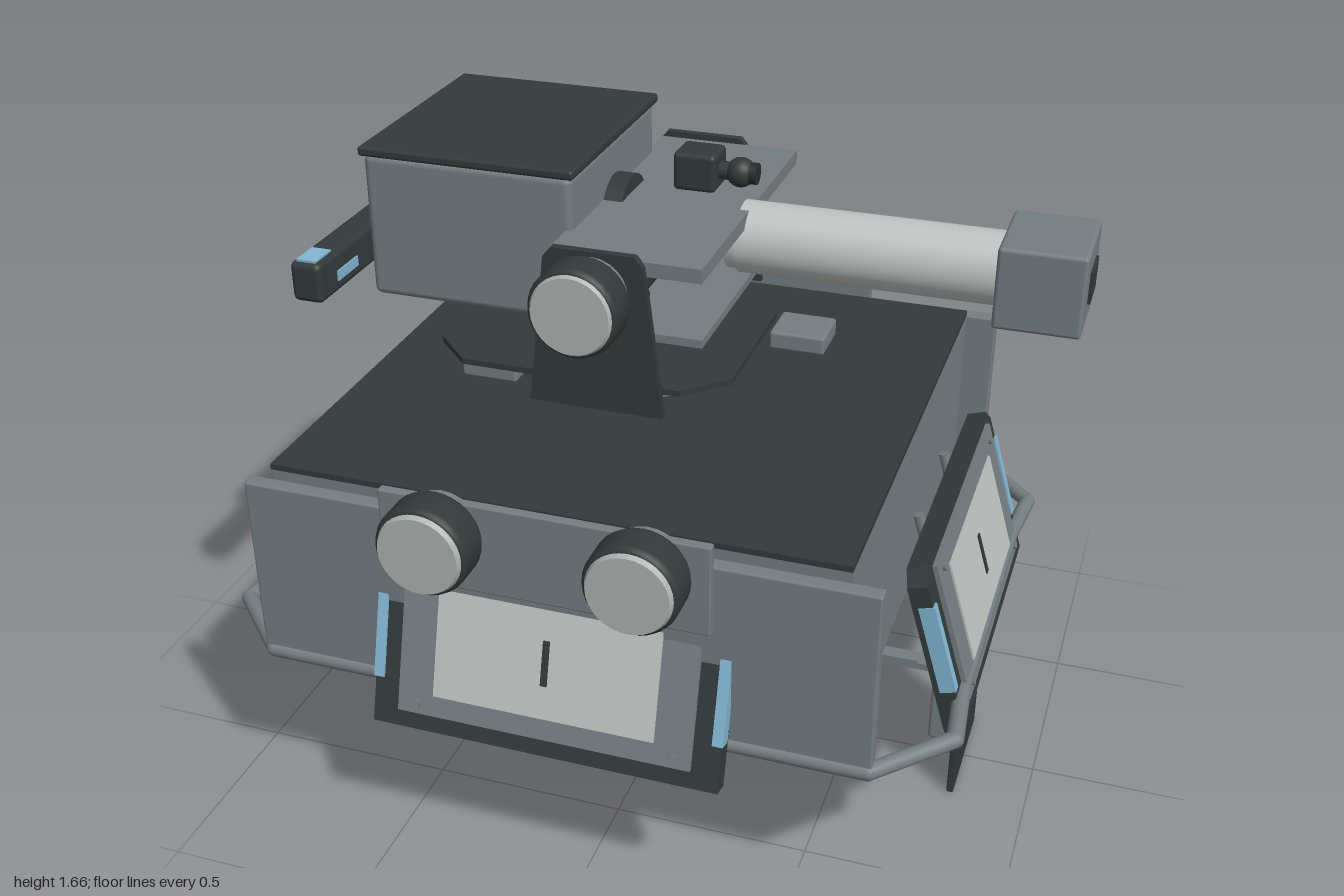
import * as THREE from 'three';
import { RoundedBoxGeometry } from 'three/addons/geometries/RoundedBoxGeometry.js';

const material = (name, color, side = THREE.FrontSide) => {
  const m = new THREE.MeshStandardMaterial({ color, side });
  m.name = name;
  return m;
};

export function createModel() {
  const grey = material('panel grey', 0x757d81);
  const dark = material('charcoal', 0x323a39);
  const pale = material('pale metal', 0xbdc3c1);
  const lensGrey = material('lens grey', 0xadb4b2);
  const blue = material('light blue', 0x82b6d2);
  const black = material('underside black', 0x262d2e);
  const root = new THREE.Group();
  const CX = -0.065;
  const UP = new THREE.Vector3(0, 1, 0);

  const add = (parent, name, geo, mat, x = 0, y = 0, z = 0) => {
    const m = new THREE.Mesh(geo, mat);
    m.name = name;
    m.position.set(x, y, z);
    parent.add(m);
    return m;
  };
  // Box given by its limits on each axis
  const block = (parent, name, mat, x0, x1, y0, y1, z0, z1, r = 0) => {
    const s = [x1 - x0, y1 - y0, z1 - z0];
    const geo = r ? new RoundedBoxGeometry(...s, 2, r) : new THREE.BoxGeometry(...s);
    return add(parent, name, geo, mat, (x0 + x1) / 2, (y0 + y1) / 2, (z0 + z1) / 2);
  };
  // Round bar between two points
  const bar = (parent, name, mat, a, b, r, sides = 14) => {
    const p = new THREE.Vector3(...a), d = new THREE.Vector3(...b).sub(p);
    const m = add(parent, name, new THREE.CylinderGeometry(r, r, d.length(), sides), mat);
    m.position.copy(p).addScaledVector(d, 0.5);
    m.quaternion.setFromUnitVectors(UP, d.normalize());
    return m;
  };
  // Rounded dark barrel pointing along local +y, with a collar and a lens
  const sensor = (parent, name, pos, dir, r, len, lensOut = 0.012) => {
    const g = new THREE.Group();
    g.name = name;
    const c = len * 0.16;
    const profile = [[0, 0], [r - c, 0], [r - c * 0.3, c * 0.3], [r, c], [r, len - c],
      [r - c * 0.3, len - c * 0.3], [r - c, len], [0, len]];
    add(g, 'sensorBarrel', new THREE.LatheGeometry(profile.map(p => new THREE.Vector2(...p)), 32), dark);
    add(g, 'sensorLens', new THREE.CylinderGeometry(r * 0.85, r * 0.9, lensOut, 32), lensGrey, 0, len + lensOut / 2);
    add(g, 'sensorCollar', new THREE.CylinderGeometry(r * 0.8, r * 0.8, 0.035, 24), grey, 0, -0.015);
    g.position.set(...pos);
    g.quaternion.setFromUnitVectors(UP, new THREE.Vector3(...dir));
    parent.add(g);
  };

  // Hull
  block(root, 'hull', grey, -0.79, 0.62, 0.48, 0.98, -0.68, 0.68);
  block(root, 'topPlate', dark, -0.79, 0.62, 0.98, 0.995, -0.685, 0.685);
  block(root, 'deckBlock', grey, 0.16, 0.31, 0.995, 1.045, -0.42, -0.28, 0.008);
  block(root, 'deckBlock', grey, -0.55, -0.4, 0.995, 1.04, -0.12, 0.12, 0.008);
  const ring = [[-0.81, 0.735], [0.69, 0.735], [0.855, 0.56], [0.835, 0.35], [0.835, -0.35], [0.855, -0.56],
    [0.69, -0.735], [-0.81, -0.735], [-0.985, -0.56], [-0.965, -0.35], [-0.965, 0.35], [-0.985, 0.56]];
  const floor = new THREE.Shape(ring.map(p => new THREE.Vector2(...p)));
  add(root, 'floorPlate', new THREE.ShapeGeometry(floor).rotateX(Math.PI / 2), black, 0, 0.475, 0);
  block(root, 'floorHatch', black, CX - 0.09, CX + 0.09, 0.467, 0.474, -0.09, 0.09);

  // Bumper rail around the floor edge
  ring.forEach(([x, z], i) => {
    const [x2, z2] = ring[(i + 1) % ring.length];
    bar(root, 'bumperRail', grey, [x, 0.492, z], [x2, 0.492, z2], 0.021);
    add(root, 'railJoint', new THREE.SphereGeometry(0.021, 12, 8), grey, x, 0.492, z);
  });

  // Front and back armour, sensor panels and paired sensors
  for (const s of [1, -1]) {
    const slab = (name, x0, x1, y0, y1, zc, t, r) =>
      block(root, name, grey, x0, x1, y0, y1, s * zc - t / 2, s * zc + t / 2, r);
    slab('armourPanel', -0.83, 0.7, 0.49, 0.97, 0.725, 0.04, 0.006);
    slab('sensorPanel', -0.46, 0.33, 0.81, 1.04, 0.767, 0.025, 0.005);
    for (const x of [-0.31, 0.18]) sensor(root, 'hullSensor', [x, 0.96, s * 0.785], [0, 0, s], 0.113, 0.1);
  }

  // Tilted display unit with a mount and brackets below
  const W = 0.432, H = 0.22, cut = 0.035;
  const frameShape = new THREE.Shape([[-W, -H], [W, -H], [W, H - cut], [W - cut, H], [cut - W, H], [-W, H - cut]]
    .map(p => new THREE.Vector2(...p)));
  const frameGeo = new THREE.ExtrudeGeometry(frameShape, { depth: 0.05, bevelEnabled: false }).translate(0, 0, -0.05);
  const display = (angle, out) => {
    const side = new THREE.Group();
    side.name = 'displaySide';
    side.position.x = CX;
    side.rotation.y = angle;
    const g = new THREE.Group();
    g.name = 'display';
    g.position.set(0, 0.63, out);
    g.rotation.x = -0.29;
    add(g, 'displayFrame', frameGeo, dark);
    block(g, 'displayPanel', grey, -0.365, 0.365, -0.175, 0.2, 0, 0.012);
    block(g, 'displayScreen', pale, -0.275, 0.275, -0.122, 0.15, 0.012, 0.017);
    block(g, 'displayMark', dark, -0.008, 0.008, -0.04, 0.07, 0.017, 0.021);
    for (const s of [-1, 1]) {
      block(g, 'displayLight', blue, s * 0.422 - 0.013, s * 0.422 + 0.013, -0.105, 0.13, -0.035, 0.005);
      for (const y of [-0.15, 0.175])
        add(g, 'screw', new THREE.CylinderGeometry(0.012, 0.012, 0.008, 12).rotateX(Math.PI / 2), grey, s * 0.32, y, 0.016);
      // Mount struts and lower brackets
      bar(side, 'mountStrut', grey, [s * 0.16, 0.83, out - 0.13], [s * 0.16, 0.47, out - 0.03], 0.014, 8);
      const x = s * 0.157;
      block(side, 'bracketArm', grey, x - 0.02, x + 0.02, 0.385, 0.41, out - 0.23, out + 0.01);
      block(side, 'bracketPost', grey, x - 0.017, x + 0.017, 0.41, 0.475, out - 0.23, out - 0.195);
      block(side, 'bracketFoot', grey, x - 0.05, x + 0.05, 0.41, 0.425, out - 0.1, out - 0.07);
      bar(side, 'bracketLever', dark, [x, 0.47, out - 0.23], [x, 0.435, out - 0.315], 0.01, 8);
    }
    side.add(g);
    root.add(side);
  };
  display(0, 0.77);
  display(Math.PI, 0.77);
  display(Math.PI / 2, 0.862);
  display(-Math.PI / 2, 0.862);

  // Hanging flap on the left side
  block(root, 'flapBracket', grey, 0.73, 0.79, 0.14, 0.47, -0.13, 0.13, 0.008);
  block(root, 'flap', dark, 0.796, 0.814, 0, 0.33, -0.163, 0.163, 0.004);

  // Turntable
  sensor(root, 'turntable', [CX, 1.005, 0], [0, 1, 0], 0.108, 0.105);
  const P = [[-0.56, -0.2], [-0.46, -0.3], [0.1, -0.3], [0.2, -0.2], [0.2, 0.2], [0.1, 0.3], [-0.46, 0.3], [-0.56, 0.2]];
  const plate = new THREE.Shape(P.map(p => new THREE.Vector2(...p)));
  add(root, 'turretPlate', new THREE.ExtrudeGeometry(plate, { depth: 0.015, bevelEnabled: false }).rotateX(Math.PI / 2),
    dark, 0, 1.143, 0);
  const swivel = [[0, 0], [0.055, 0], [0.073, 0.02], [0.073, 0.075], [0.055, 0.095], [0, 0.095]];
  add(root, 'swivel', new THREE.LatheGeometry(swivel.map(p => new THREE.Vector2(...p)), 28), pale, CX, 1.145, 0);
  bar(root, 'swivelPin', dark, [CX, 1.23, 0], [CX, 1.32, 0], 0.014);

  // Yoke with side sensor and pivot knob
  const yoke = new THREE.Shape([[-0.165, 1.13], [0.165, 1.13], [0.12, 1.5], [0.1, 1.525], [-0.1, 1.525], [-0.12, 1.5]]
    .map(p => new THREE.Vector2(...p)));
  const yokeGeo = new THREE.ExtrudeGeometry(yoke, { depth: 0.02, bevelEnabled: false });
  for (const z of [0.402, -0.422]) add(root, 'yokePlate', yokeGeo, dark, CX, 0, z);
  sensor(root, 'yokeSensor', [CX, 1.43, 0.46], [0, 0, 1], 0.108, 0.1, 0.008);
  sensor(root, 'yokeKnob', [CX, 1.43, -0.42], [0, 0, -1], 0.058, 0.025, 0.018);
  block(root, 'upperCradle', grey, -0.18, 0.187, 1.475, 1.51, -0.405, 0.405);
  block(root, 'lowerCradle', grey, -0.18, 0.187, 1.315, 1.335, -0.4, 0.4);
  block(root, 'cradleAxle', dark, CX - 0.1, CX + 0.1, 1.39, 1.465, -0.355, 0.355, 0.03);
  for (const z of [-0.22, 0.22]) {
    sensor(root, 'hangingSensor', [CX, 1.36, z], [0, -1, 0], 0.062, 0.135, 0.01);
    add(root, 'hangingLens', new THREE.SphereGeometry(0.048, 20, 12).scale(1, 0.55, 1), pale, CX, 1.195, z);
  }

  // Barrel tube with square head
  bar(root, 'barrelJoint', dark, [-0.05, 1.425, 0], [0.16, 1.425, 0], 0.04, 24);
  bar(root, 'barrelCollar', pale, [0.137, 1.43, 0], [0.165, 1.43, 0], 0.08, 32);
  bar(root, 'barrelTube', pale, [0.165, 1.43, 0], [0.8, 1.43, 0], 0.088, 40);
  block(root, 'barrelHead', grey, 0.79, 0.993, 1.33, 1.53, -0.125, 0.125, 0.01);
  block(root, 'headWindow', dark, 0.992, 1.0, 1.39, 1.468, -0.053, 0.053);

  // Equipment box with lid and round port
  block(root, 'equipmentBox', grey, -0.69, -0.165, 1.28, 1.638, -0.292, 0.292, 0.018);
  block(root, 'boxLid', dark, -0.697, -0.155, 1.636, 1.66, -0.302, 0.302, 0.008);
  bar(root, 'boxPort', dark, [-0.17, 1.45, 0], [-0.118, 1.45, 0], 0.1, 28);

  // Top camera
  block(root, 'topCamera', dark, 0, 0.105, 1.545, 1.638, -0.05, 0.05, 0.012);
  bar(root, 'topCameraNeck', dark, [0.1, 1.59, 0], [0.15, 1.59, 0], 0.022);
  add(root, 'topCameraEye', new THREE.SphereGeometry(0.036, 20, 14), dark, 0.155, 1.59, 0);
  bar(root, 'topCameraLens', black, [0.16, 1.59, 0], [0.197, 1.59, 0], 0.026, 20);

  // Rear light bar
  block(root, 'lightBar', dark, -0.805, -0.725, 1.325, 1.425, -0.48, 0.48, 0.015);
  for (const s of [-1, 1]) {
    block(root, 'barLight', blue, -0.79, -0.74, 1.42, 1.43, s * 0.43 - 0.038, s * 0.43 + 0.038);
    block(root, 'barSideLight', blue, -0.727, -0.721, 1.355, 1.38, s * 0.35 - 0.05, s * 0.35 + 0.05);
  }
  const foot = add(root, 'lightBarFoot', new THREE.CylinderGeometry(0.036, 0.055, 0.1, 4, 1).rotateY(Math.PI / 4),
    grey, -0.765, 1.275, 0);
  foot.scale.z = 1.2;

  // Side gadget with feelers
  block(root, 'gadgetBox', grey, -0.51, -0.355, 1.33, 1.425, -0.47, -0.335, 0.01);
  block(root, 'gadgetArm', grey, -0.47, -0.39, 1.35, 1.4, -0.34, -0.28);
  bar(root, 'gadgetNeck', dark, [-0.36, 1.39, -0.4], [-0.32, 1.39, -0.4], 0.028);
  add(root, 'gadgetEye', new THREE.SphereGeometry(0.036, 20, 14), dark, -0.325, 1.39, -0.4);
  for (const s of [-1, 1])
    bar(root, 'feeler', dark, [-0.5, 1.42, -0.4 + s * 0.05], [-0.655, 1.5, -0.4 + s * 0.085], 0.007, 8);

  return root;
}
